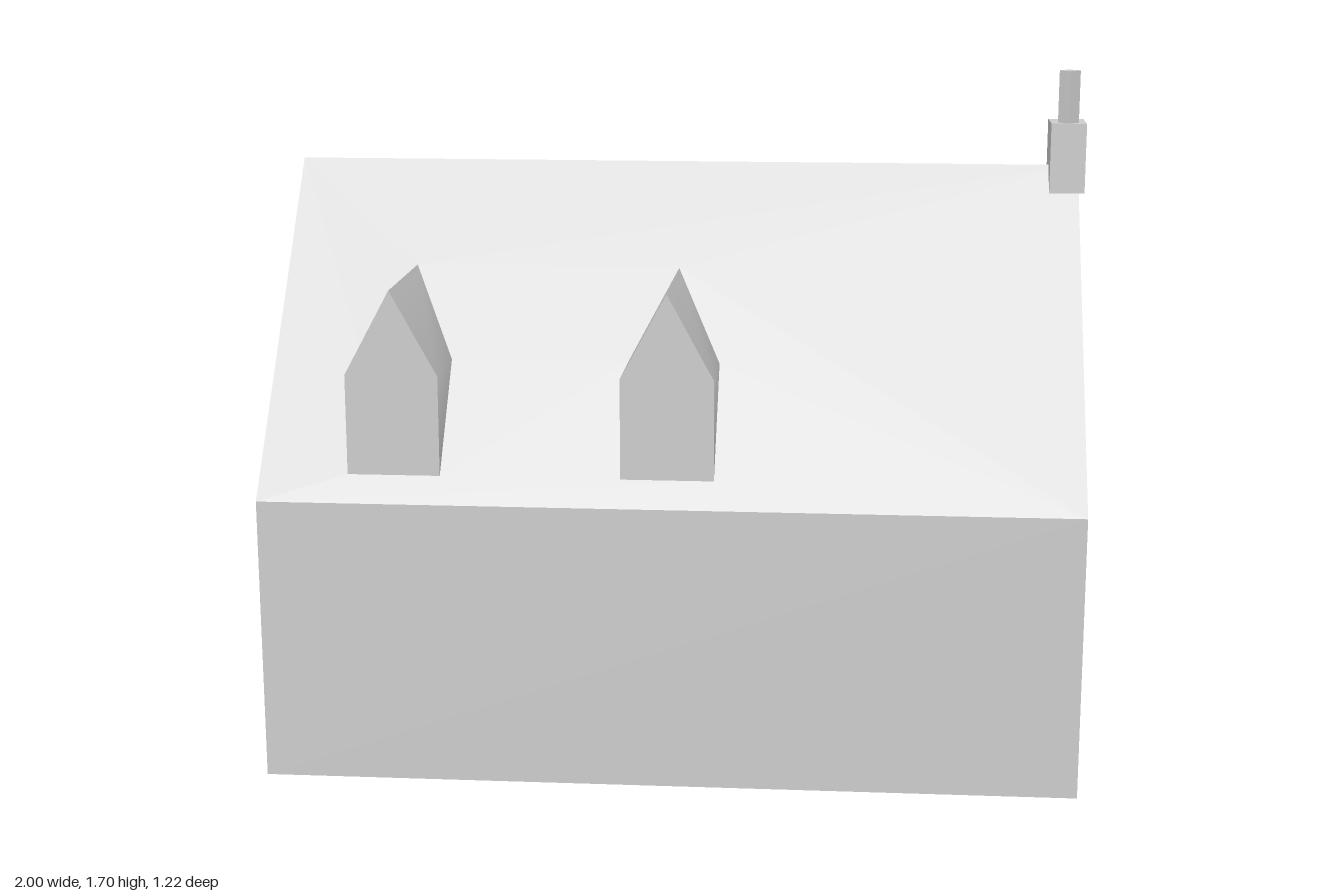
import * as THREE from 'three';

const LEFT = -1, RIGHT = 0.985, DEPTH = 0.61, EAVE = 0.7, RIDGE = 1.455;
const roofZ = (y) => DEPTH * (RIDGE - y) / (RIDGE - EAVE);

export function createModel() {
  const house = new THREE.Group();
  house.name = 'house';
  const plaster = new THREE.MeshStandardMaterial({ color: 0xcccccc, side: THREE.DoubleSide });
  plaster.name = 'plainGrey';

  const add = (name, geometry, parent = house) => {
    const mesh = new THREE.Mesh(geometry, plaster);
    mesh.name = name;
    parent.add(mesh);
    return mesh;
  };
  // Flat convex face from corners listed counter-clockwise
  const face = (corners) => {
    const g = new THREE.BufferGeometry();
    g.setAttribute('position', new THREE.Float32BufferAttribute(corners.flat(), 3));
    const index = [];
    for (let i = 1; i < corners.length - 1; i++) index.push(0, i, i + 1);
    g.setIndex(index);
    g.computeVertexNormals();
    return g;
  };
  const pentagon = (cx, half, y0, y1, y2) => [
    [cx - half, y0], [cx + half, y0], [cx + half, y1], [cx, y2], [cx - half, y1],
  ];
  const toPoints = (list) => list.map(([x, y]) => new THREE.Vector2(x, y));

  // Long walls, open underneath
  add('frontWall', face([[LEFT, 0, DEPTH], [RIGHT, 0, DEPTH], [RIGHT, EAVE, DEPTH], [LEFT, EAVE, DEPTH]]));
  add('backWall', face([[RIGHT, 0, -DEPTH], [LEFT, 0, -DEPTH], [LEFT, EAVE, -DEPTH], [RIGHT, EAVE, -DEPTH]]));

  // Gable ends
  const gable = pentagon(0, DEPTH, 0, EAVE, RIDGE);
  add('leftGable', face(gable.map(([a, y]) => [RIGHT, y, -a])));
  add('rightGable', face(gable.map(([a, y]) => [LEFT, y, a])));

  // Back slope
  add('backRoof', face([[RIGHT, EAVE, -DEPTH], [LEFT, EAVE, -DEPTH], [LEFT, RIDGE, 0], [RIGHT, RIDGE, 0]]));

  // Front slope, cut open behind each dormer
  const dormers = [-0.672, -0.01].map((cx) => pentagon(cx, 0.1125, 0.76, 1.005, 1.212));
  const slope = new THREE.Shape(toPoints([[LEFT, EAVE], [RIGHT, EAVE], [RIGHT, RIDGE], [LEFT, RIDGE]]));
  for (const d of dormers) slope.holes.push(new THREE.Path(toPoints(d)));
  const roof = new THREE.ShapeGeometry(slope);
  const p = roof.attributes.position;
  for (let i = 0; i < p.count; i++) p.setZ(i, roofZ(p.getY(i)));
  roof.computeVertexNormals();
  add('frontRoof', roof);

  // Dormers: front face plus two sides, each a cheek softly joined to its roof
  const frontZ = roofZ(0.76);
  for (const d of dormers) {
    const dormer = new THREE.Group();
    dormer.name = 'dormer';
    house.add(dormer);
    add('dormerFront', face(d.map(([x, y]) => [x, y, frontZ])), dormer);
    const [bl, br, tr, top, tl] = d;
    const side = (a, b, c) => {
      const g = new THREE.BufferGeometry();
      const corners = [a, b, c].flatMap(([x, y]) => [x, y, frontZ, x, y, roofZ(y)]);
      g.setAttribute('position', new THREE.Float32BufferAttribute(corners, 3));
      g.setIndex([0, 3, 2, 2, 3, 5, 2, 5, 4]);
      g.computeVertexNormals();
      return g;
    };
    add('dormerLeftSide', side(br, tr, top), dormer);
    // The opposite side mirrors the first, so its winding is reversed
    const mirrored = side(bl, tl, top);
    mirrored.setIndex([0, 2, 3, 2, 5, 3, 2, 4, 5]);
    mirrored.computeVertexNormals();
    add('dormerRightSide', mirrored, dormer);
  }

  // Chimney stack with two square pots set cornerwise
  const chimney = new THREE.Group();
  chimney.name = 'chimney';
  house.add(chimney);
  add('chimneyStack', new THREE.BoxGeometry(0.088, 0.175, 0.112), chimney).position.set(0.955, 1.4775, 0);
  for (const [r, top, z] of [[0.026, 1.695, 0.028], [0.02, 1.662, -0.022]]) {
    const h = top - 1.565;
    const pot = new THREE.CylinderGeometry(r, r, h, 4).toNonIndexed();
    pot.computeVertexNormals();
    add('chimneyPot', pot, chimney).position.set(0.955, 1.565 + h / 2, z);
  }
  return house;
}
